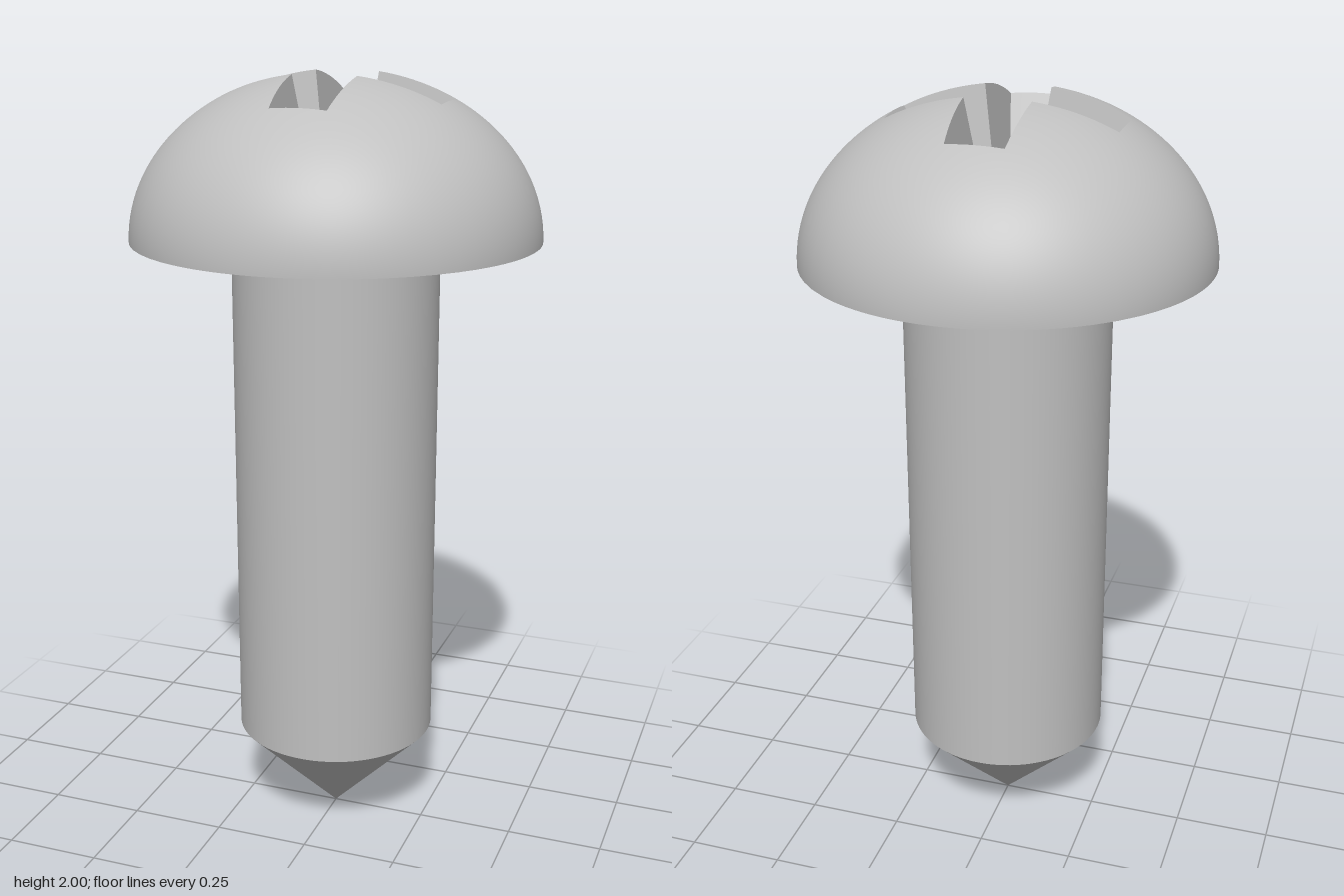
import * as THREE from 'three';

const HEAD_R = 0.514, HEAD_Y = 1.595, HEAD_H = 0.412;
const SHANK_R = 0.262, FILLET = 0.05, TIP_H = 0.265;
const APEX = new THREE.Vector3(0, 1.45, 0);

const steel = new THREE.MeshStandardMaterial({ color: 0xc0c0c0 });
steel.name = 'steel';

// Height of the elliptical dome above a plan position
const domeY = (x, z) => HEAD_Y + HEAD_H * Math.sqrt(1 - (x * x + z * z) / HEAD_R ** 2);

// Pushes a point away from the recess apex until it meets the dome
function projectToDome(p) {
  const dir = p.clone().sub(APEX);
  let lo = 0.9, hi = 1.3;
  for (let i = 0; i < 40; i++) {
    const s = (lo + hi) / 2;
    const q = APEX.clone().addScaledVector(dir, s);
    if (q.y < domeY(q.x, q.z)) lo = s; else hi = s;
  }
  return APEX.clone().addScaledVector(dir, lo);
}

// Cross-shaped rim of the recess, lying on the dome
function recessRim(divisions) {
  const corners = [];
  for (let arm = 0; arm < 4; arm++) {
    for (let [x, z] of [[0.082, -0.083], [0.281, -0.08], [0.284, 0.06]]) {
      for (let k = 0; k < arm; k++) [x, z] = [-z, x];
      corners.push(new THREE.Vector3(x, domeY(x, z), z));
    }
  }
  const rim = [];
  corners.forEach((a, i) => {
    const b = corners[(i + 1) % corners.length];
    for (let j = 0; j < divisions; j++) rim.push(projectToDome(a.clone().lerp(b, j / divisions)));
  });
  return rim;
}

// Dome skin running from the recess rim out to the edge of the head
function domeGeometry(rim, rows) {
  const pos = [], nor = [], idx = [], n = rim.length, w = rows + 1;
  for (const p of rim) {
    const r0 = Math.hypot(p.x, p.z), phi0 = Math.asin(r0 / HEAD_R);
    for (let k = 0; k <= rows; k++) {
      const phi = phi0 + (Math.PI / 2 - phi0) * k / rows;
      const r = HEAD_R * Math.sin(phi), x = p.x / r0 * r, z = p.z / r0 * r;
      const y = HEAD_H * Math.cos(phi);
      pos.push(x, HEAD_Y + y, z);
      const normal = new THREE.Vector3(x / HEAD_R ** 2, y / HEAD_H ** 2, z / HEAD_R ** 2).normalize();
      nor.push(normal.x, normal.y, normal.z);
    }
  }
  for (let i = 0; i < n; i++) {
    for (let k = 0; k < rows; k++) {
      const a = i * w + k, b = ((i + 1) % n) * w + k;
      idx.push(a, b, a + 1, b, b + 1, a + 1);
    }
  }
  const g = new THREE.BufferGeometry();
  g.setAttribute('position', new THREE.Float32BufferAttribute(pos, 3));
  g.setAttribute('normal', new THREE.Float32BufferAttribute(nor, 3));
  g.setIndex(idx);
  return g;
}

// Flat recess walls meeting at one deep point
function recessGeometry(rim) {
  const points = [];
  rim.forEach((p, i) => points.push(APEX, rim[(i + 1) % rim.length], p));
  const g = new THREE.BufferGeometry().setFromPoints(points);
  g.computeVertexNormals();
  return g;
}

const lathe = (points) => new THREE.LatheGeometry(points.map(([r, y]) => new THREE.Vector2(r, y)), 96);

export function createModel() {
  const group = new THREE.Group();
  group.name = 'screw';
  const add = (name, geometry) => {
    const mesh = new THREE.Mesh(geometry, steel);
    mesh.name = name;
    group.add(mesh);
  };

  // Head with its cross recess
  const rim = recessRim(10);
  add('headDome', domeGeometry(rim, 24));
  add('driveRecess', recessGeometry(rim));
  add('headUnderside', lathe([[SHANK_R + FILLET, HEAD_Y], [HEAD_R, HEAD_Y]]));

  // Shank, flaring into the head through a small fillet
  add('shank', lathe([[SHANK_R, TIP_H], [SHANK_R, HEAD_Y - FILLET]]));
  const fillet = [];
  for (let i = 0; i <= 10; i++) {
    const a = i / 10 * Math.PI / 2;
    fillet.push([SHANK_R + FILLET * (1 - Math.cos(a)), HEAD_Y - FILLET * (1 - Math.sin(a))]);
  }
  add('shankFillet', lathe(fillet));

  // Pointed tip
  add('tip', lathe([[0, 0], [SHANK_R, TIP_H]]));

  return group;
}
